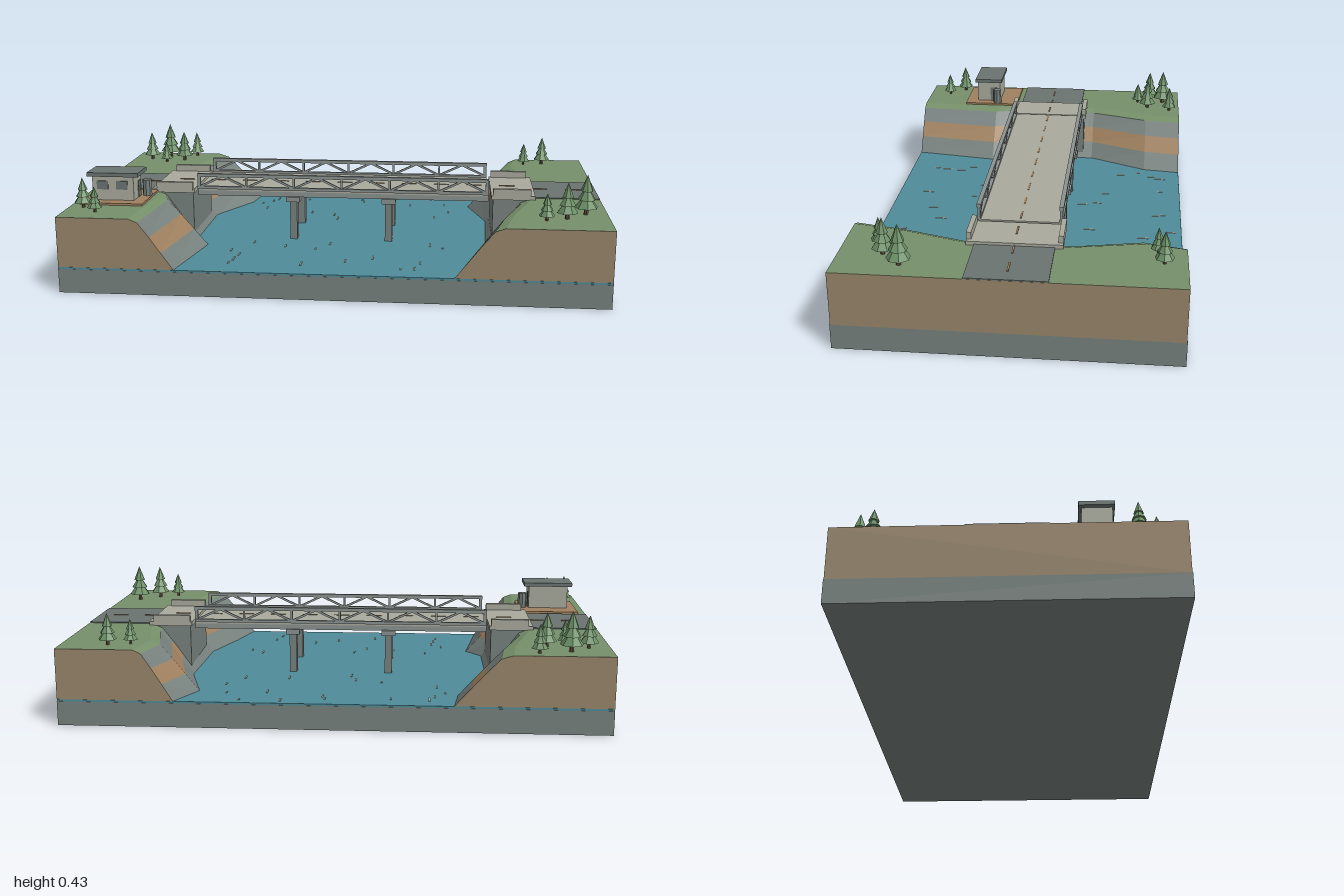
import * as THREE from 'three';

const mat = (name, color, side = THREE.FrontSide) => {
  const m = new THREE.MeshStandardMaterial({ color, side, flatShading: true });
  m.name = name;
  return m;
};

export function createModel() {
  const M = {
    stone: mat('stone grey', 0x78827f),
    earth: mat('earth tan', 0x98866b),
    grass: mat('grass green', 0x76906a),
    water: mat('water blue', 0x4f8c99),
    concrete: mat('pale concrete', 0xa9aa9d),
    asphalt: mat('asphalt grey', 0x6b7472),
    steel: mat('steel grey', 0x8b928f),
    foliage: mat('foliage green', 0x6c8f66),
    clay: mat('clay brown', 0xa0815f),
    wood: mat('dark wood', 0x5d4a38),
  };
  const model = new THREE.Group();
  model.name = 'bridgeDiorama';

  const add = (name, geometry, material, parent = model) => {
    const mesh = new THREE.Mesh(geometry, material);
    mesh.name = name;
    parent.add(mesh);
    return mesh;
  };
  // Box given by its limits on each axis
  const box = (name, material, x0, x1, y0, y1, z0, z1, parent = model) => {
    const mesh = add(name, new THREE.BoxGeometry(x1 - x0, y1 - y0, z1 - z0), material, parent);
    mesh.position.set((x0 + x1) / 2, (y0 + y1) / 2, (z0 + z1) / 2);
    return mesh;
  };
  const group = (name) => {
    const g = new THREE.Group();
    g.name = name;
    model.add(g);
    return g;
  };

  // Base slab and river
  const GROUND = 0.285, WATER = 0.097;
  box('baseSlab', M.stone, -1, 1, 0, 0.09, -0.592, 0.592);
  box('water', M.water, -0.998, 0.998, 0.09, WATER, -0.591, 0.591);

  // River banks: rows of [z, top edge x, water edge x], joined by coloured bands
  const bandT = [0, 0.2, 0.45, 0.7, 1];
  const bandY = [GROUND, 0.272, 0.218, 0.16, 0.09];
  const bandMat = ['grass', 'stone', 'clay', 'stone'];
  const makeBank = (name, s, rows) => {
    const g = group(name);
    const soup = { grass: [], stone: [], clay: [], earth: [] };
    const tri = (key, a, b, c, flip) => soup[key].push(...a, ...(flip ? c : b), ...(flip ? b : c));
    const quad = (key, a, b, c, d, flip) => {
      tri(key, a, b, c, flip);
      tri(key, a, c, d, flip);
    };
    const profiles = rows.map(([z, top, foot]) => [
      [s, GROUND, z],
      ...bandT.map((t, i) => [top + (foot - top) * t, bandY[i], z]),
    ]);
    for (let r = 0; r < rows.length - 1; r++) {
      const p = profiles[r], q = profiles[r + 1];
      for (let i = 0; i < p.length - 1; i++) {
        quad(i ? bandMat[i - 1] : 'grass', p[i], q[i], q[i + 1], p[i + 1], s > 0);
      }
    }
    // Cut ends and outer wall
    const first = profiles[0], last = profiles[profiles.length - 1];
    for (const [p, flip] of [[last, s < 0], [first, s > 0]]) {
      const corner = [s, 0.09, p[0][2]];
      for (let i = 0; i < p.length - 1; i++) tri('earth', corner, p[i], p[i + 1], flip);
    }
    quad('earth', [s, 0.09, last[0][2]], [s, 0.09, first[0][2]], first[0], last[0], s < 0);
    for (const key in soup) {
      const geo = new THREE.BufferGeometry();
      geo.setAttribute('position', new THREE.Float32BufferAttribute(soup[key], 3));
      geo.computeVertexNormals();
      add(name + '_' + key, geo, M[key], g);
    }
  };
  makeBank('rightBank', -1, [
    [-0.59, -0.64, -0.43], [-0.44, -0.66, -0.45], [-0.2, -0.73, -0.57],
    [0.17, -0.73, -0.57], [0.25, -0.71, -0.51], [0.59, -0.73, -0.565],
  ]);
  makeBank('leftBank', 1, [
    [-0.59, 0.715, 0.57], [-0.44, 0.685, 0.5], [-0.2, 0.735, 0.57],
    [0.18, 0.73, 0.56], [0.4, 0.66, 0.49], [0.59, 0.62, 0.44],
  ]);

  // Roads, abutments and approach slabs, mirrored at both ends
  const span = (name, material, s, a, b, ...rest) =>
    box(name, material, Math.min(s * a, s * b), Math.max(s * a, s * b), ...rest);
  for (const s of [-1, 1]) {
    span('road', M.asphalt, s, 0.74, 0.999, 0.28, 0.289, -0.14, 0.14);
    span('abutment', M.stone, s, 0.59, 0.72, 0.09, 0.284, -0.16, 0.16);
    span('approachSlab', M.concrete, s, 0.583, 0.752, 0.283, 0.299, -0.168, 0.168);
    for (const z of [-0.16, 0.16]) {
      span('parapet', M.concrete, s, 0.59, 0.735, 0.29, 0.325, z - 0.009, z + 0.009);
    }
  }

  // Bridge deck, kerbs and centre line
  const X = 0.573;
  box('deckGirder', M.steel, -X, X, 0.27, 0.29, -0.145, 0.145);
  box('deckSurface', M.concrete, -X, X, 0.29, 0.3, -0.148, 0.148);
  for (let i = 0; i < 15; i++) {
    const x = -0.91 + i * 0.13;
    const y = Math.abs(x) > 0.752 ? 0.289 : 0.299;
    box('laneDash', M.clay, x - 0.03, x + 0.03, y - 0.001, y + 0.003, -0.003, 0.003);
  }

  // Side trusses
  const PANELS = 12, step = (2 * (X - 0.006)) / PANELS;
  for (const z of [-0.148, 0.148]) {
    const truss = group(z > 0 ? 'frontTruss' : 'backTruss');
    box('topChord', M.steel, -X, X, 0.346, 0.359, z - 0.008, z + 0.008, truss);
    box('bottomChord', M.steel, -X, X, 0.297, 0.308, z - 0.007, z + 0.007, truss);
    for (let i = 0; i <= PANELS; i++) {
      const x = -X + 0.006 + i * step;
      if (i % 2 === 0) {
        const w = i % PANELS === 0 ? 0.006 : 0.004;
        box('post', M.steel, x - w, x + w, 0.3, 0.35, z - 0.005, z + 0.005, truss);
      }
      if (i === PANELS) continue;
      const rise = 0.045;
      const brace = add('diagonal', new THREE.BoxGeometry(Math.hypot(step, rise), 0.008, 0.008), M.steel, truss);
      brace.position.set(x + step / 2, 0.327, z);
      brace.rotation.z = Math.atan2(i % 2 ? -rise : rise, step);
    }
  }

  // Piers: twin columns under a cross beam
  for (const x of [-0.192, 0.185]) {
    box('pierCap', M.steel, x - 0.027, x + 0.027, 0.252, 0.272, -0.157, 0.157);
    for (const z of [-0.12, 0.12]) {
      box('pierColumn', M.stone, x - 0.014, x + 0.014, 0.09, 0.255, z - 0.02, z + 0.02);
    }
  }

  // Keeper's hut on its pad
  const hut = group('hut');
  box('pad', M.clay, -0.97, -0.73, 0.28, 0.293, 0.16, 0.4, hut);
  box('walls', M.concrete, -0.935, -0.775, 0.293, 0.387, 0.245, 0.35, hut);
  box('roof', M.asphalt, -0.953, -0.755, 0.385, 0.4, 0.235, 0.358, hut);
  box('door', M.asphalt, -0.776, -0.772, 0.293, 0.356, 0.26, 0.29, hut);
  for (const x of [-0.895, -0.82]) {
    box('window', M.asphalt, x - 0.022, x + 0.022, 0.335, 0.368, 0.349, 0.353, hut);
  }
  add('tank', new THREE.CylinderGeometry(0.018, 0.018, 0.062, 8), M.stone, hut)
    .position.set(-0.748, 0.324, 0.255);

  // Conifers: [x, z, radius]
  const trees = [
    [-0.92, -0.455, 0.035], [-0.85, -0.515, 0.043], [-0.735, -0.545, 0.031],
    [-0.77, -0.445, 0.037], [-0.84, -0.4, 0.026], [0.745, -0.49, 0.027],
    [0.825, -0.51, 0.034], [-0.945, 0.435, 0.033], [-0.88, 0.5, 0.028],
    [0.92, 0.365, 0.043], [0.845, 0.435, 0.039], [0.77, 0.465, 0.029],
  ];
  trees.forEach(([x, z, r], n) => {
    const tree = group('tree');
    tree.position.set(x, GROUND, z);
    tree.rotation.y = n * 1.3;
    add('trunk', new THREE.CylinderGeometry(r * 0.16, r * 0.2, r * 0.9, 6), M.wood, tree)
      .position.y = r * 0.4;
    // Three tiers of branches: [base height, radius, height]
    for (const [y, w, h] of [[0.6, 1, 1.4], [1.3, 0.78, 1.25], [2.05, 0.55, 1.4]]) {
      add('branches', new THREE.ConeGeometry(r * w, r * h, 7), M.foliage, tree)
        .position.y = r * (y + h / 2);
    }
  });

  // Ripples on the river: [x, z] in hundredths
  const ripples = [
    [-41, -42], [-37, -47], [-38, -34], [-35, -51], [-21, -51], [-17, -28], [-7, -25],
    [-5, -19], [3, -52], [4, -49], [19, -55], [25, -44], [34, -55], [42, -34],
    [36, -24], [19, -23], [40, -46], [-41, 32], [-37, 37], [-38, 43], [-39, 48],
    [-34, 20], [-21, 24], [-12, 47], [-9, 27], [-4, 20], [4, 42], [14, 37],
    [25, 50], [32, 42], [30, 49], [35, 18], [40, 22],
  ];
  ripples.forEach(([x, z], i) => {
    const half = 0.01 + 0.004 * (i % 4);
    box('ripple', M.concrete, x / 100 - 0.003, x / 100 + 0.003, WATER - 0.001, WATER + 0.002,
      z / 100 - half, z / 100 + half);
  });

  return model;
}
